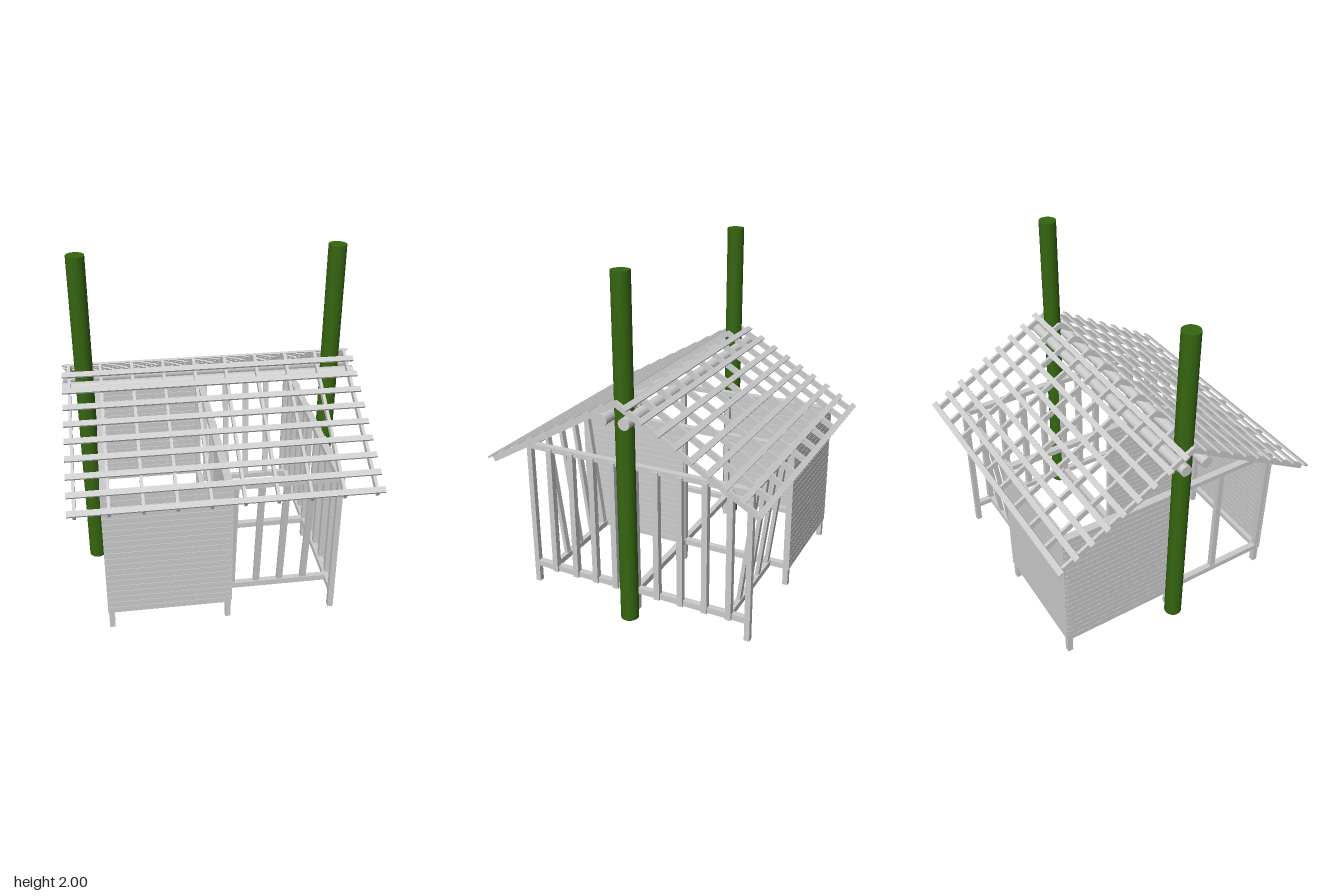
import * as THREE from 'three';

const grey = new THREE.MeshStandardMaterial({ color: 0xcccccc });
const green = new THREE.MeshStandardMaterial({ color: 0x356510 });

export function createModel() {
  const model = new THREE.Group();

  const group = (name) => {
    const g = new THREE.Group();
    g.name = name;
    model.add(g);
    return g;
  };
  // Box given by its centre and size
  const box = (parent, name, x, y, z, w, h, d, tilt = 0) => {
    const m = new THREE.Mesh(new THREE.BoxGeometry(w, h, d), grey);
    m.name = name;
    m.position.set(x, y, z);
    m.rotation.x = tilt;
    parent.add(m);
    return m;
  };

  const LEFT = -0.655, MID = 0.018, RIGHT = 0.635, SIDE = 0.688;
  const FLOOR = 0.128, TOP = 0.905;

  // Two tall round poles
  for (const s of [-1, 1]) {
    const pole = new THREE.Mesh(new THREE.CylinderGeometry(0.052, 0.052, 2, 32), green);
    pole.name = 'pole';
    pole.position.set(s * 0.725, 1, 0);
    model.add(pole);
  }

  // Posts standing on the ground
  const posts = group('posts');
  for (const x of [LEFT, MID, RIGHT])
    for (const z of [-SIDE, 0, SIDE]) box(posts, 'post', x, 0.45, z, 0.032, 0.9, 0.032);

  // Floor beams and top plates
  const frame = group('frame');
  for (const x of [LEFT, MID, RIGHT]) {
    box(frame, 'floorBeam', x, FLOOR, 0, 0.036, 0.035, 1.39);
    box(frame, 'topPlate', x, TOP, 0, 0.04, 0.03, 1.4);
  }
  box(frame, 'crossBeam', (LEFT + RIGHT) / 2, FLOOR, 0, RIGHT - LEFT, 0.035, 0.036);
  for (const s of [-1, 1]) {
    box(frame, 'floorBeam', (LEFT + MID) / 2, FLOOR, s * SIDE, MID - LEFT, 0.035, 0.032);
    box(frame, 'recessedSill', (MID + RIGHT) / 2 + 0.01, FLOOR, s * 0.575, 0.64, 0.035, 0.032);
    box(frame, 'topPlate', (LEFT + RIGHT) / 2, TOP, s * SIDE, 1.33, 0.03, 0.032);
  }

  // Leaning studs of the open bays, feet set inwards
  const studs = group('studs');
  const rise = 0.77, lean = 0.095;
  for (const s of [-1, 1])
    for (const x of [0.058, 0.205, 0.345, 0.487])
      box(studs, 'leaningStud', x, 0.515, s * 0.62, 0.036, Math.hypot(rise, lean), 0.022, s * Math.atan(lean / rise));

  // Upright studs of the open side, and the door stud opposite
  for (const z of [0.545, 0.4, 0.265, 0.13, -0.14, -0.285, -0.435, -0.58])
    box(studs, 'sideStud', 0.648, 0.51, z, 0.036, 0.8, 0.034);
  box(studs, 'doorStud', LEFT, 0.51, 0.335, 0.03, 0.8, 0.034);

  // Horizontal boarding: front, back, rear half of the end wall, front half of the partition
  const walls = group('boardWalls');
  const count = 21, pitch = 0.0386;
  for (let i = 0; i < count; i++) {
    const y = 0.112 + pitch * (i + 0.5), h = pitch - 0.003;
    for (const s of [-1, 1])
      box(walls, 'wallBoard', -0.32, y, s * 0.704, 0.71, h, 0.012);
    box(walls, 'endBoard', LEFT - 0.02, y, -0.345, 0.012, h, 0.71);
    box(walls, 'partitionBoard', MID + 0.018, y, 0.345, 0.012, h, 0.7);
  }

  // Roof: rafters with battens on top, and two round ridge logs
  const roof = group('roof');
  const ridge = 1.352, angle = Math.PI / 6, slope = Math.tan(angle);
  for (const s of [-1, 1]) {
    for (let i = 0; i < 10; i++) {
      const x = -0.81 + i * 0.18;
      box(roof, 'rafter', x, ridge - 0.405 * slope - 0.02, s * 0.402, 0.017, 0.034, 0.94, s * angle);
    }
    for (let i = 0; i < 9; i++) {
      const z = 0.065 + i * 0.093;
      box(roof, 'batten', 0, ridge - z * slope + 0.006, s * z, 1.7, 0.012, 0.034, s * angle);
    }
    const log = new THREE.Mesh(new THREE.CylinderGeometry(0.033, 0.033, 1.7, 24), grey);
    log.name = 'ridgeLog';
    log.rotation.z = Math.PI / 2;
    log.position.set(0, 1.24, s * 0.066);
    roof.add(log);
  }

  return model;
}
